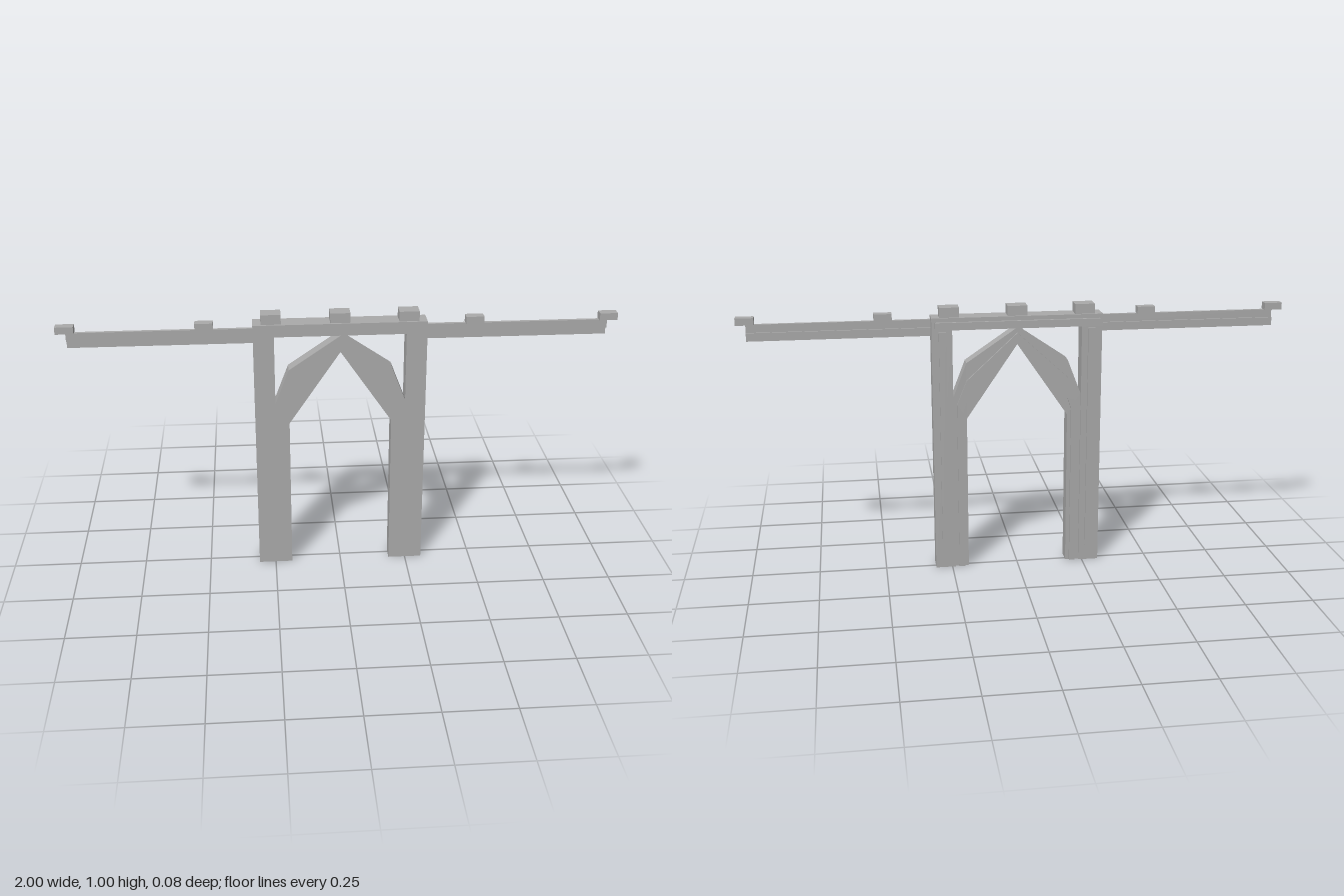
import * as THREE from 'three';

export function createModel() {
  const model = new THREE.Group();
  model.name = 'gateway';
  const stone = new THREE.MeshStandardMaterial({ color: 0xaaaaaa });
  stone.name = 'grey stone';

  const add = (name, geometry) => {
    const mesh = new THREE.Mesh(geometry, stone);
    mesh.name = name;
    model.add(mesh);
  };

  // Box given by its limits on each axis
  const box = (name, x0, x1, y0, y1, z0, z1) => {
    const g = new THREE.BoxGeometry(x1 - x0, y1 - y0, z1 - z0);
    g.translate((x0 + x1) / 2, (y0 + y1) / 2, (z0 + z1) / 2);
    add(name, g);
  };

  // The same box on the left and on the right
  const pair = (name, x0, x1, ...rest) => {
    box(name + 'Left', x0, x1, ...rest);
    box(name + 'Right', -x1, -x0, ...rest);
  };

  // Symmetrical arch band: outer and inner edges run from the foot to the apex
  const arch = (name, outer, inner, z0, z1) => {
    const mirror = (pts) => pts.slice(0, -1).reverse().map(([x, y]) => [-x, y]);
    const outline = [...outer, ...mirror(outer), ...[...inner, ...mirror(inner)].reverse()];
    const shape = new THREE.Shape(outline.map(([x, y]) => new THREE.Vector2(x, y)));
    const g = new THREE.ExtrudeGeometry(shape, { depth: z1 - z0, bevelEnabled: false });
    g.translate(0, 0, z0);
    add(name, g);
  };

  // Pillars and their raised back strips
  pair('pillar', 0.237, 0.312, 0, 0.922, -0.022, 0.041);
  pair('pillarStrip', 0.26, 0.286, 0.06, 0.915, -0.03, -0.022);

  // Pointed arch with legs, and a rib along its back
  arch('arch',
    [[0.237, 0], [0.237, 0.665], [0.187, 0.795], [0, 0.922]],
    [[0.187, 0], [0.187, 0.585], [0, 0.86]], -0.014, 0.041);
  arch('archRib',
    [[0.223, 0], [0.223, 0.64], [0.187, 0.73], [0, 0.903]],
    [[0.201, 0], [0.201, 0.61], [0.187, 0.65], [0, 0.88]], -0.022, -0.014);

  // Lintel, its back rail and the blocks on top
  box('lintel', -0.312, 0.312, 0.922, 0.967, -0.031, 0.041);
  box('lintelRail', -0.3, 0.3, 0.928, 0.952, -0.041, -0.031);
  for (const x of [-0.247, 0, 0.247]) {
    box('lintelBlock', x - 0.036, x + 0.036, 0.967, 1.003, -0.023, 0.033);
  }

  // Side rails and the small blocks on them
  pair('upperRail', 0.312, 0.965, 0.922, 0.954, 0.018, 0.031);
  pair('lowerRail', 0.312, 0.965, 0.895, 0.925, 0.011, 0.019);
  pair('railMidBlock', 0.45, 0.515, 0.954, 0.98, 0.007, 0.041);
  pair('railEndBlock', 0.935, 1, 0.954, 0.98, 0.007, 0.041);

  return model;
}
